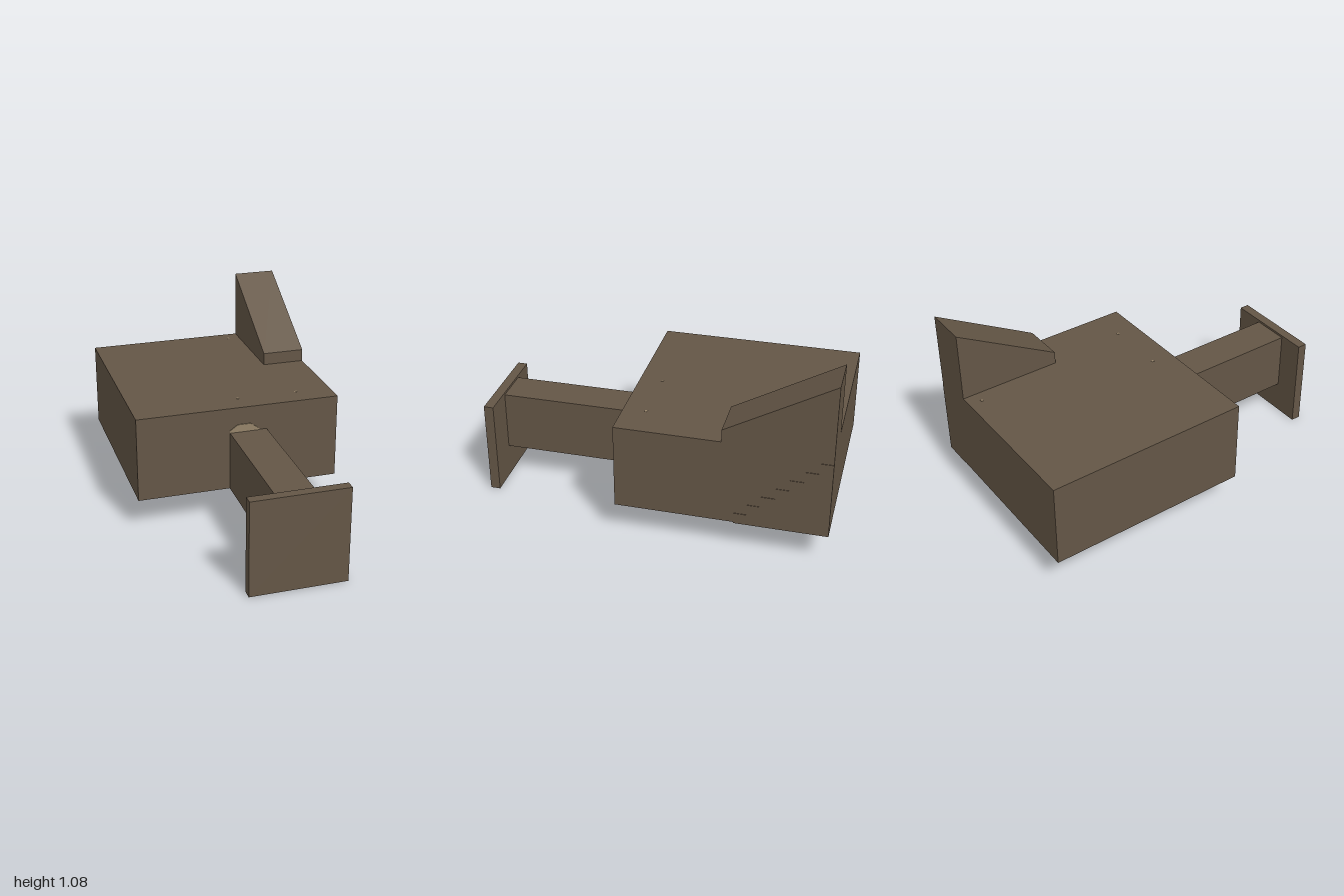
import * as THREE from 'three';

const wall = new THREE.MeshStandardMaterial({ color: 0x645646 });
wall.name = 'brownWall';
const tan = new THREE.MeshStandardMaterial({ color: 0x96846a });
tan.name = 'tanFloor';
// box faces in order +x -x +y -y +z -z: only the underside is tan
const tanUnderside = [wall, wall, wall, tan, wall, wall];

export function createModel() {
  const group = new THREE.Group();

  const add = (name, geometry, material) => {
    const mesh = new THREE.Mesh(geometry, material);
    mesh.name = name;
    group.add(mesh);
    return mesh;
  };

  // box given by its limits on each axis
  const box = (name, [x0, x1], [y0, y1], [z0, z1], material) =>
    add(name, new THREE.BoxGeometry(x1 - x0, y1 - y0, z1 - z0), material)
      .position.set((x0 + x1) / 2, (y0 + y1) / 2, (z0 + z1) / 2);

  // side profile of [z, y] points, extruded from x0 to x1
  const profile = (name, points, x0, x1, material) => {
    const shape = new THREE.Shape(points.map(([z, y]) => new THREE.Vector2(-z, y)));
    const geometry = new THREE.ExtrudeGeometry(shape, { depth: x1 - x0, bevelEnabled: false });
    geometry.rotateY(Math.PI / 2).translate(x0, 0, 0);
    add(name, geometry, material);
  };

  // main hall, passage and the slab that closes its end
  box('room', [-0.585, 0.581], [0.188, 0.679], [-1, 0.168], tanUnderside);
  box('corridor', [-0.055, 0.16], [0.188, 0.533], [0.168, 0.945], tanUnderside);
  box('endSlab', [-0.207, 0.337], [0, 0.546], [0.945, 1], wall);

  // sloped stairwell hood on the roof
  profile('stairHood', [[-0.415, 0.67], [-0.415, 0.75], [-1, 1.08], [-1, 0.67]], 0.336, 0.581, wall);

  // staircase, just proud of the side wall and the floor
  const steps = 7, z0 = -0.49, y0 = 0.183, run = 0.51 / steps, rise = 0.445 / steps;
  const stairs = [[z0, y0]];
  for (let i = 0; i < steps; i++) {
    stairs.push([z0 - i * run, y0 + (i + 1) * rise], [z0 - (i + 1) * run, y0 + (i + 1) * rise]);
  }
  stairs.push([-1, y0]);
  profile('staircase', stairs, 0.408, 0.584, wall);

  // small arch showing above the corridor roof
  const arch = new THREE.Shape([[-0.055, 0.52], [0.13, 0.52], [0.11, 0.546], [0.065, 0.578], [-0.01, 0.578], [-0.055, 0.546]]
    .map(([x, y]) => new THREE.Vector2(x, y)));
  add('arch', new THREE.ExtrudeGeometry(arch, { depth: 0.006, bevelEnabled: false }), tan).position.z = 0.167;

  // tips of the hanging lamps on the roof
  for (const [x, z] of [[0.03, 0.04], [0.375, 0.04], [0.265, -0.925]]) {
    box('lampTip', [x - 0.007, x + 0.007], [0.676, 0.681], [z - 0.007, z + 0.007], tan);
  }

  return group;
}
